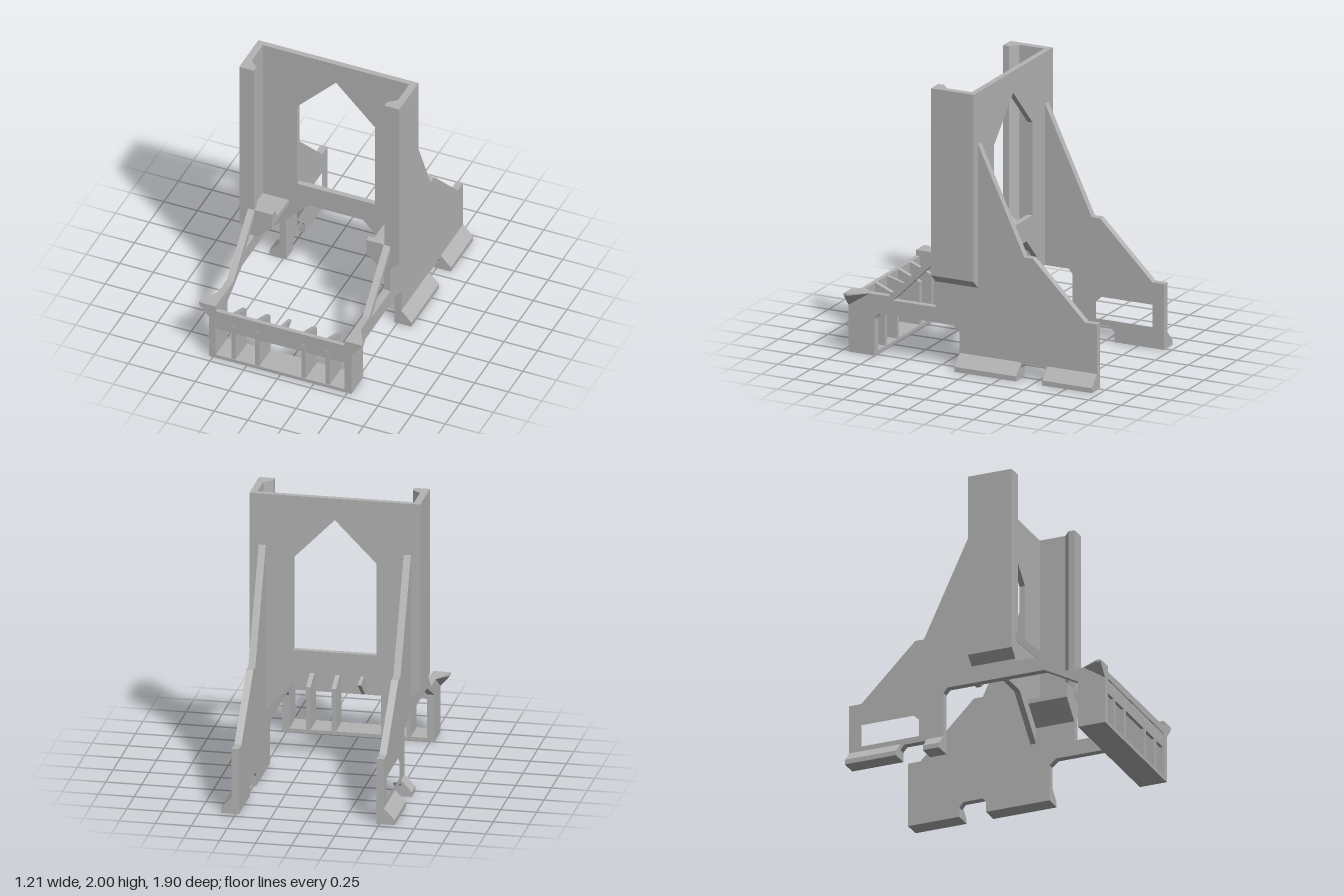
import * as THREE from 'three';
import { ConvexGeometry } from 'three/addons/geometries/ConvexGeometry.js';

const grey = new THREE.MeshStandardMaterial({ color: 0xb4b4b4 });
grey.name = 'plain grey';

function makeShape(points, holes = []) {
  const shape = new THREE.Shape(points.map(([a, b]) => new THREE.Vector2(a, b)));
  for (const h of holes) shape.holes.push(new THREE.Path(h.map(([a, b]) => new THREE.Vector2(a, b))));
  return shape;
}
const extrude = (points, holes, depth) =>
  new THREE.ExtrudeGeometry(makeShape(points, holes), { depth, bevelEnabled: false });

// Profile in (z, y), running from x0 to x1
const alongX = (points, x0, x1, holes) =>
  extrude(points, holes, x1 - x0).rotateY(-Math.PI / 2).translate(x1, 0, 0);
// Profile in (x, y), running from z0 to z1
const alongZ = (points, z0, z1, holes) => extrude(points, holes, z1 - z0).translate(0, 0, z0);
// Profile in (x, z), running from y0 to y1
const alongY = (points, y0, y1) => extrude(points, [], y1 - y0).rotateX(Math.PI / 2).translate(0, y1, 0);

export function createModel() {
  const model = new THREE.Group();
  model.name = 'standFrame';
  const add = (name, geometry) => {
    const mesh = new THREE.Mesh(geometry, grey);
    mesh.name = name;
    model.add(mesh);
  };

  // Outline shared by both side plates: rear foot with notch, stepped back, brace and front post
  const upperOutline = [
    [-0.57, 0], [-0.57, 0.07], [-0.54, 0.105], [-0.395, 0.105], [-0.37, 0.075], [-0.37, 0],
  ].reverse().concat([
    [-0.95, 0], [-0.95, 0.47], [-0.86, 0.47], [-0.46, 0.87], [-0.395, 0.87], [-0.035, 1.64],
    [-0.02, 1.64], [-0.02, 0.725], [0.19, 0.725], [0.24, 0.8], [0.285, 0.8],
    [0.645, 0.44], [0.95, 0.44], [0.95, 0], [0.75, 0],
  ]);

  // Left plate: solid, with a deep front leg
  add('leftSidePlate', alongX(
    [...upperOutline, [0.75, 0.265], [0.71, 0.305], [0.15, 0.305], [0.1, 0.265], [0.1, 0]],
    0.48, 0.53, [[[0.285, 0.415], [0.61, 0.415], [0.285, 0.74]]]));

  // Right plate: cut away below, with a window above the foot
  add('rightSidePlate', alongX(
    [...upperOutline, [0.75, 0.34], [0.5, 0.475], [-0.22, 0.475], [-0.25, 0.44], [-0.25, 0]],
    -0.53, -0.48, [
      [[0.285, 0.58], [0.44, 0.58], [0.285, 0.74]],
      [[-0.86, 0.15], [-0.86, 0.31], [-0.47, 0.31], [-0.43, 0.27], [-0.43, 0.15]],
    ]));

  // Back panel with the pointed opening and the corner gussets
  add('backPanel', alongZ(
    [[-0.595, 2], [-0.595, 0.66], [-0.53, 0.6], [-0.48, 0.6], [-0.48, 0.475], [-0.45, 0.475],
      [-0.2, 0.725], [0.2, 0.725], [0.48, 0.445], [0.48, 0.6], [0.53, 0.6], [0.595, 0.66], [0.595, 2]],
    -0.04, 0, [[[-0.29, 0.885], [0.29, 0.885], [0.29, 1.55], [0, 1.845], [-0.29, 1.55]]]));

  for (const s of [1, -1]) {
    const side = s > 0 ? 'left' : 'right';
    const flip = (points) => points.map(([x, b]) => [s * x, b]);

    // Upright channel with a bevelled front lip
    add(side + 'Channel', alongY(
      flip([[0.545, 0], [0.595, 0], [0.595, 0.285], [0.485, 0.285], [0.485, 0.24], [0.545, 0.19]]),
      0.66, 2));
    // Sloping underside of the channel
    add(side + 'ChannelFloor', alongZ(
      flip([[0.53, 0.6], [0.595, 0.66], [0.595, 0.725], [0.53, 0.725]]), 0, 0.285));
    // Inner support bracket and its front stop
    add(side + 'Bracket', alongZ(
      flip([[0.35, 0.69], [0.48, 0.56], [0.48, 0.725], [0.35, 0.725]]), 0, 0.285));
    const stopX = s > 0 ? [0.35, 0.48] : [-0.48, -0.35];
    add(side + 'BracketStop', alongX(
      [[0.19, 0.725], [0.285, 0.725], [0.285, 0.8], [0.24, 0.8]], ...stopX));

    // Sloped foot flanges, split by the notch
    const flange = flip([[0.53, 0], [0.605, 0], [0.605, 0.035], [0.53, 0.115]]);
    add(side + 'RearFlange', alongZ(flange, -0.95, -0.57));
    add(side + 'FrontFlange', alongZ(flange, -0.37, s > 0 ? 0.1 : -0.25));

    // Flared ear on the front post
    add(side + 'Ear', new ConvexGeometry([
      [0.53, 0.44, 0.79], [0.605, 0.44, 0.92], [0.605, 0.44, 0.95], [0.605, 0.425, 0.95],
      [0.605, 0.425, 0.92], [0.53, 0.335, 0.95], [0.53, 0.44, 0.95],
    ].map(([x, y, z]) => new THREE.Vector3(s * x, y, z))));
  }

  // Front rack: upper rail, face, floor
  const box = (w, y0, y1, z0, z1) =>
    new THREE.BoxGeometry(w, y1 - y0, z1 - z0).translate(0, (y0 + y1) / 2, (z0 + z1) / 2);
  add('frontRail', box(0.96, 0.345, 0.4, 0.92, 0.95));
  add('frontFace', box(0.96, 0.245, 0.345, 0.92, 0.943));
  add('frontFloor', box(0.96, 0, 0.025, 0.75, 0.95));

  // Ribs dividing the rack, and the short middle rib
  for (const x of [-0.35, -0.172, 0.172, 0.35]) {
    add('rackRib', alongX(
      [[0.755, 0.01], [0.945, 0.01], [0.945, 0.3], [0.93, 0.4], [0.92, 0.4], [0.755, 0.33]],
      x - 0.016, x + 0.016));
  }
  add('middleRib', alongX([[0.925, 0.245], [0.925, 0.4], [0.78, 0.36]], -0.012, 0.012));

  return model;
}
